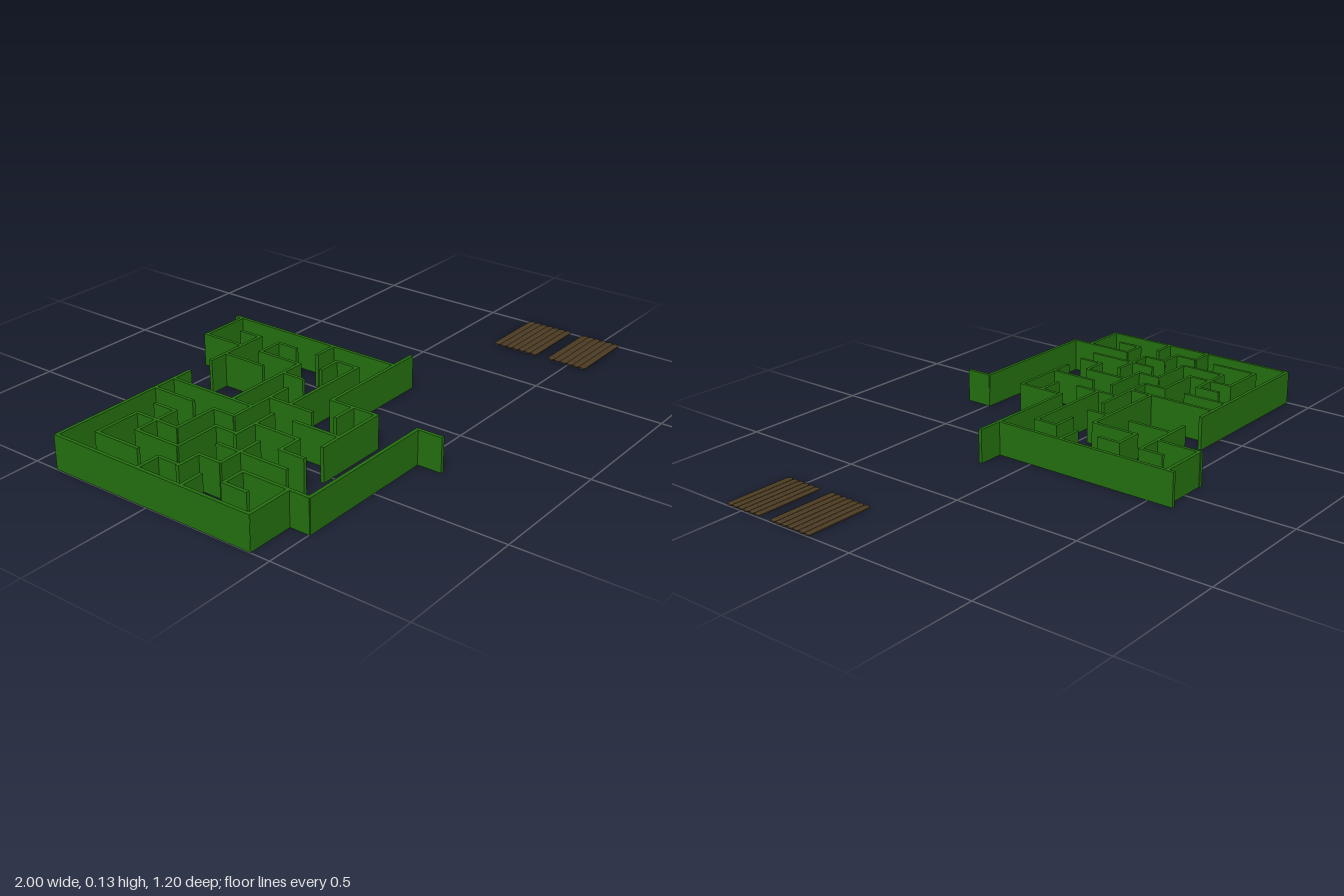
import * as THREE from 'three';

const HEIGHT = 0.128, THICK = 0.013;

// Walls running along x: [z, start, end, start, end, ...]
const rowsX = [
  [-0.57, -0.1, 0.11],
  [-0.398, -0.998, -0.37, -0.264, 0.012],
  [-0.308, -0.906, -0.714, -0.1, 0.012],
  [-0.218, -0.816, -0.629],
  [-0.127, -0.724, -0.537, -0.455, -0.09, 0.005, 0.104],
  [-0.036, -0.998, -0.9, -0.816, -0.634, -0.548, -0.27, -0.088, 0.008],
  [0.054, -0.91, -0.81, -0.644, -0.45, -0.366, 0.012],
  [0.146, -0.998, -0.9, -0.816, -0.629, -0.26, 0.21],
  [0.237, -0.906, -0.81, -0.639, -0.543, -0.355, -0.254],
  [0.332, -0.543, -0.25],
  [0.42, -0.998, -0.81],
  [0.498, -0.816, -0.25]
];

// Walls running along z: [x, start, end, start, end, ...]
const rowsZ = [
  [-0.993, -0.404, 0.426],
  [-0.9, -0.31, -0.123, -0.036, 0.058, 0.232, 0.334],
  [-0.812, -0.222, -0.036, 0.048, 0.146, 0.232, 0.502],
  [-0.721, -0.314, -0.123, 0.048, 0.337],
  [-0.634, -0.312, -0.218, -0.042, 0.058, 0.232, 0.337],
  [-0.544, -0.4, -0.218, -0.13, -0.036, 0.054, 0.24],
  [-0.453, -0.4, -0.036, 0.14, 0.332],
  [-0.366, -0.038, 0.152],
  [-0.254, 0.142, 0.337, 0.493, 0.597],
  [-0.184, -0.4, -0.218, -0.13, -0.034],
  [-0.094, -0.58, -0.398, -0.308, -0.123],
  [0.006, -0.49, -0.396, -0.308, -0.22, -0.042, 0.06],
  [0.104, -0.6, 0.15]
];

export function createModel() {
  const root = new THREE.Group();
  root.name = 'hedgeMaze';
  const green = new THREE.MeshStandardMaterial({ color: 0x246f10 });
  green.name = 'hedge green';
  const brown = new THREE.MeshStandardMaterial({ color: 0x4a3a22, flatShading: true });
  brown.name = 'log brown';

  // Hedge walls
  const walls = new THREE.Group();
  walls.name = 'hedgeWalls';
  root.add(walls);
  const addWalls = (rows, alongX) => {
    for (const [line, ...ends] of rows) {
      for (let i = 0; i < ends.length; i += 2) {
        const len = ends[i + 1] - ends[i], mid = (ends[i] + ends[i + 1]) / 2;
        const geo = new THREE.BoxGeometry(alongX ? len : THICK, HEIGHT, alongX ? THICK : len);
        const wall = new THREE.Mesh(geo, green);
        wall.name = alongX ? 'crossWall' : 'lengthWall';
        wall.position.set(alongX ? mid : line, HEIGHT / 2, alongX ? line : mid);
        walls.add(wall);
      }
    }
  };
  addWalls(rowsX, true);
  addWalls(rowsZ, false);

  // One flattened log with tapered ends, lying along x
  const profile = [[0, -0.138], [0.008, -0.138], [0.0137, -0.128], [0.0137, 0.128], [0.008, 0.138], [0, 0.138]]
    .map(([r, y]) => new THREE.Vector2(r, y));
  const logGeo = new THREE.LatheGeometry(profile, 8, Math.PI / 8);
  logGeo.rotateZ(Math.PI / 2);
  logGeo.scale(1, 0.42, 1.06);
  logGeo.computeBoundingBox();
  logGeo.translate(0, -logGeo.boundingBox.min.y, 0);

  // Two log mats beside the maze
  const addMat = (name, zStart, count) => {
    const mat = new THREE.Group();
    mat.name = name;
    for (let i = 0; i < count; i++) {
      const log = new THREE.Mesh(logGeo, brown);
      log.name = 'log';
      log.position.set(0.862, 0, zStart + i * 0.0268);
      mat.add(log);
    }
    root.add(mat);
  };
  addMat('rearLogMat', 0.191, 7);
  addMat('frontLogMat', 0.428, 6);

  return root;
}
